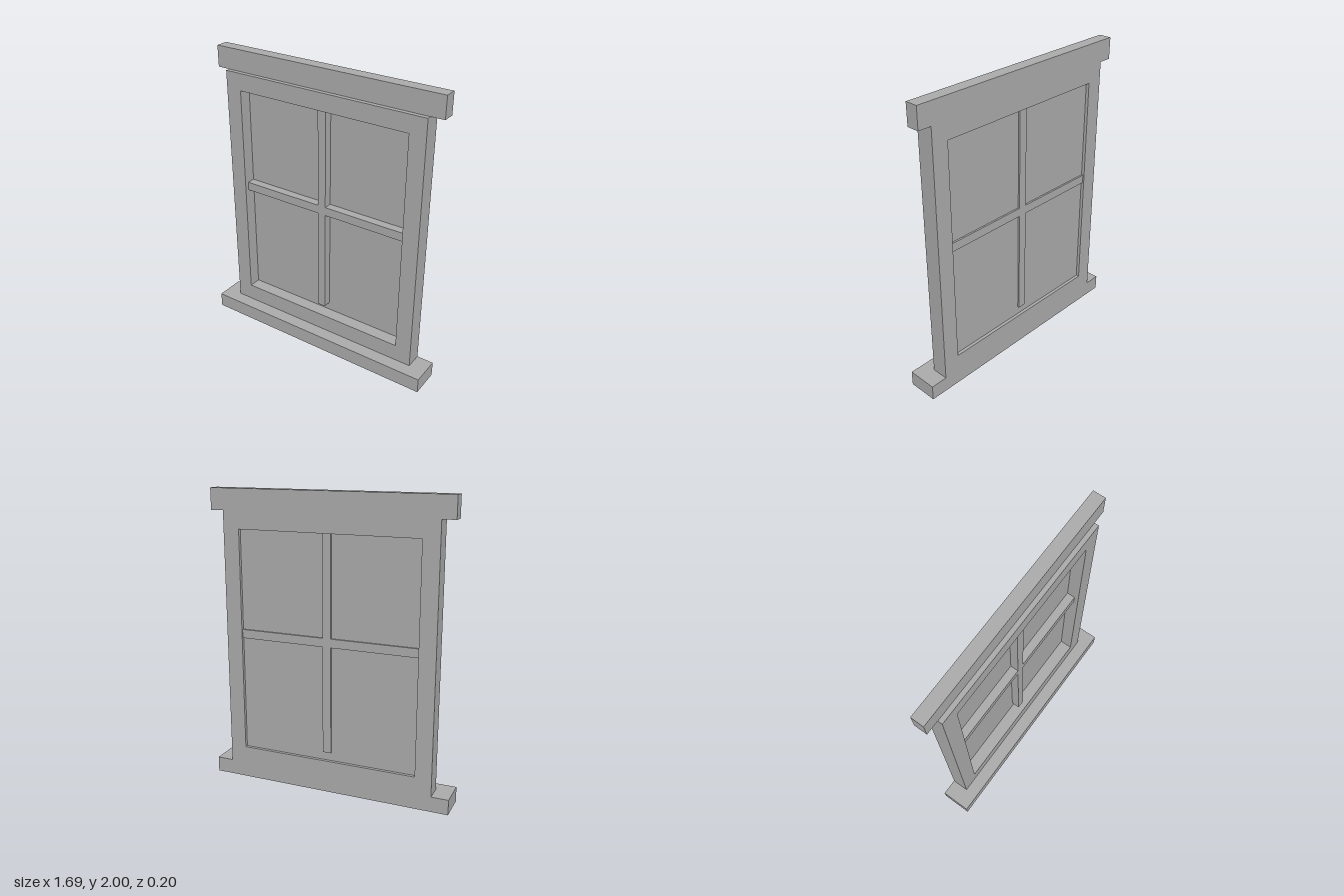
import * as THREE from 'three';

export function createModel() {
  const model = new THREE.Group();
  const grey = new THREE.MeshStandardMaterial({ color: 0xaaaaaa });
  grey.name = 'plain grey';

  function add(name, geometry) {
    const mesh = new THREE.Mesh(geometry, grey);
    mesh.name = name;
    model.add(mesh);
  }

  // Box given by its half width and its y and z ranges
  function box(name, halfWidth, y0, y1, z0, z1) {
    const geometry = new THREE.BoxGeometry(2 * halfWidth, y1 - y0, z1 - z0);
    add(name, geometry.translate(0, (y0 + y1) / 2, (z0 + z1) / 2));
  }

  // Straight extrusion of an outline from z0 to z1
  function slab(name, shape, z0, z1) {
    const geometry = new THREE.ExtrudeGeometry(shape, { depth: z1 - z0, bevelEnabled: false });
    add(name, geometry.translate(0, 0, z0));
  }

  const points = (list) => list.map(([x, y]) => new THREE.Vector2(x, y));
  const rectangle = (w, y0, y1) => points([[-w, y0], [w, y0], [w, y1], [-w, y1]]);

  const back = -0.102;
  const holeWidth = 0.616, holeBottom = 0.222, holeTop = 1.74;

  // Sill and header
  box('sill', 0.843, 0, 0.104, back, 0.102);
  box('header', 0.817, 1.857, 2, back, -0.017);

  // Frame around the opening
  const frame = new THREE.Shape(rectangle(0.728, 0.104, 1.857));
  frame.holes.push(new THREE.Path(rectangle(holeWidth, holeBottom, holeTop)));
  slab('frame', frame, back, 0.013);

  // Glazing bars: one cross whose upright stops short of the bottom
  const bar = 0.029, barLow = 1.01, barHigh = 1.069, barEnd = 0.28;
  const cross = new THREE.Shape(points([
    [-bar, barEnd], [bar, barEnd], [bar, barLow], [holeWidth, barLow],
    [holeWidth, barHigh], [bar, barHigh], [bar, holeTop], [-bar, holeTop],
    [-bar, barHigh], [-holeWidth, barHigh], [-holeWidth, barLow], [-bar, barLow],
  ]));
  slab('glazingBars', cross, -0.092, -0.016);

  // Pane set inside the opening
  box('pane', holeWidth, holeBottom, holeTop, -0.08, -0.073);

  return model;
}
